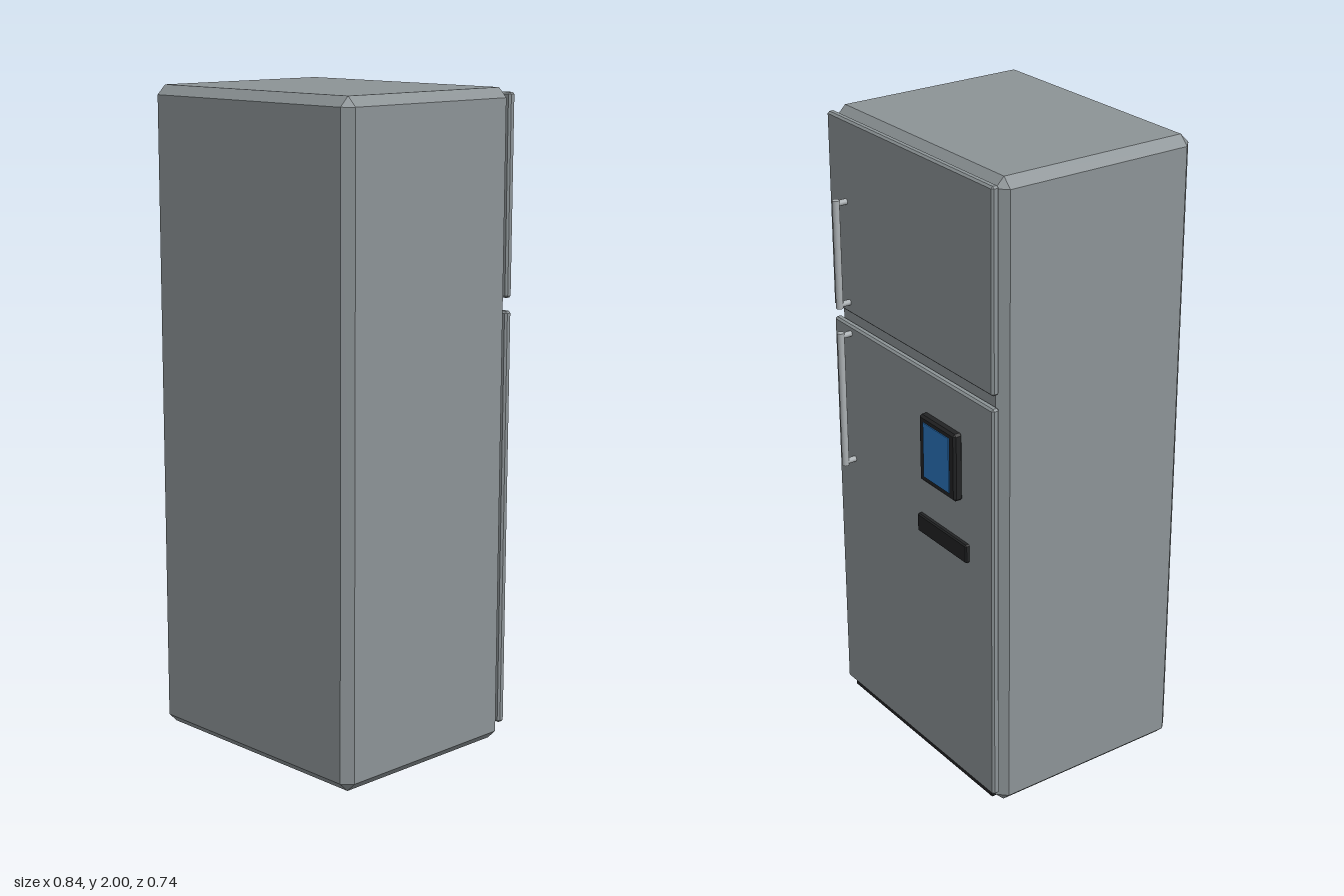
import * as THREE from 'three';
import { ConvexGeometry } from 'three/addons/geometries/ConvexGeometry.js';

// Box between two corners with chamfered edges
function chamferBox(min, max, bevel) {
  const c = min.map((v, i) => (v + max[i]) / 2);
  const h = min.map((v, i) => (max[i] - v) / 2);
  const points = [];
  for (const sx of [-1, 1]) for (const sy of [-1, 1]) for (const sz of [-1, 1]) {
    for (let full = 0; full < 3; full++) {
      const p = [sx, sy, sz].map((s, i) => c[i] + s * (h[i] - (i === full ? 0 : bevel)));
      points.push(new THREE.Vector3(...p));
    }
  }
  return new ConvexGeometry(points);
}

export function createModel() {
  const group = new THREE.Group();
  const material = (name, color) => {
    const m = new THREE.MeshStandardMaterial({ color });
    m.name = name;
    return m;
  };
  const steel = material('grey steel', 0x8c9396);
  const chrome = material('light metal', 0xabb0b3);
  const black = material('black plastic', 0x222324);
  const blue = material('blue screen', 0x2a75bd);

  const add = (name, geometry, mat, parent = group) => {
    const mesh = new THREE.Mesh(geometry, mat);
    mesh.name = name;
    parent.add(mesh);
    return mesh;
  };

  // Cabinet and its two doors, which open at -z
  add('cabinet', chamferBox([-0.42, 0, -0.3], [0.42, 2, 0.366], 0.029), steel);
  add('freezerDoor', chamferBox([-0.41, 1.38, -0.323], [0.41, 1.985, -0.298], 0.006), steel);
  add('fridgeDoor', chamferBox([-0.41, 0.045, -0.323], [0.41, 1.34, -0.298], 0.006), steel);
  add('kickPlate', chamferBox([-0.385, 0.018, -0.309], [0.385, 0.05, -0.285], 0.003), black);

  // Bar handles on two short posts
  function addHandle(name, bottom, top) {
    const handle = new THREE.Group();
    handle.name = name;
    const bar = add('grip', new THREE.CylinderGeometry(0.011, 0.011, top - bottom, 12), chrome, handle);
    bar.position.set(0.32, (top + bottom) / 2, -0.358);
    for (const y of [bottom + 0.011, top - 0.011]) {
      const post = add('post', new THREE.CylinderGeometry(0.009, 0.009, 0.04, 12), chrome, handle);
      post.rotation.x = Math.PI / 2;
      post.position.set(0.32, y, -0.338);
    }
    group.add(handle);
  }
  addHandle('freezerHandle', 1.405, 1.745);
  addHandle('fridgeHandle', 0.88, 1.325);

  // Control panel with screen, and the ledge below it
  add('controlPanel', chamferBox([-0.26, 0.995, -0.349], [-0.08, 1.21, -0.318], 0.007), black);
  const screen = add('screen', new THREE.BoxGeometry(0.128, 0.175, 0.006), blue);
  screen.position.set(-0.17, 1.104, -0.349);
  add('ledge', chamferBox([-0.295, 0.805, -0.337], [-0.045, 0.865, -0.318], 0.004), black);

  return group;
}
